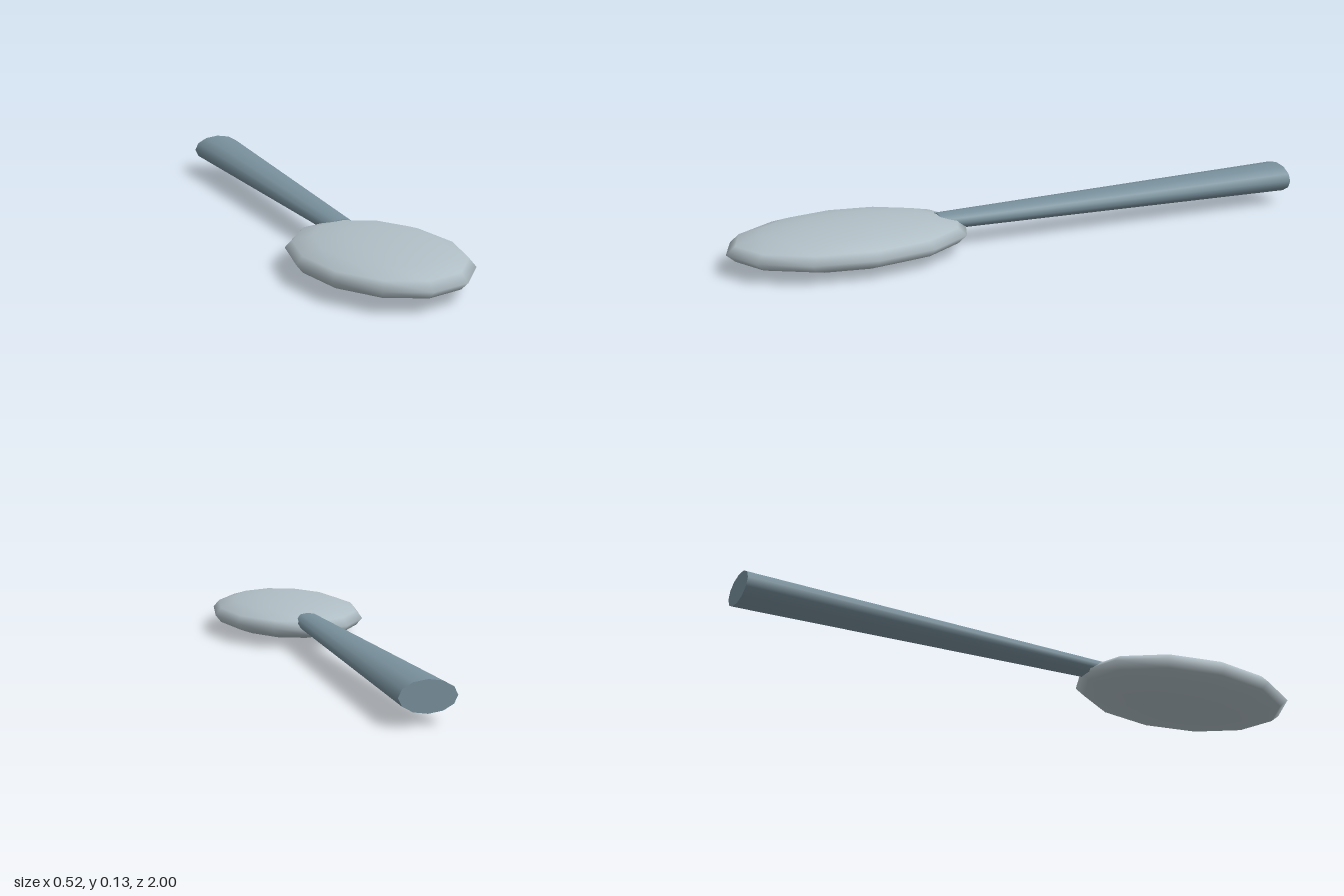
import * as THREE from 'three';

function material(name, color) {
  const m = new THREE.MeshStandardMaterial({ color });
  m.name = name;
  return m;
}

export function createModel() {
  const group = new THREE.Group();
  group.name = 'spoon';
  const paleSteel = material('paleSteel', 0xb0bec5);
  const darkSteel = material('darkSteel', 0x78909c);

  // Bowl: a coarse sphere flattened into a long oval
  const bowl = new THREE.Mesh(new THREE.SphereGeometry(1, 12, 8), paleSteel);
  bowl.name = 'bowl';
  bowl.scale.set(0.26, 0.065, 0.4);
  bowl.position.set(0, 0.065, 0.6);
  group.add(bowl);

  // Handle: a tapered oval rod, wide at the back, sunk into the bowl
  const back = -1, front = 0.3;
  const rod = new THREE.CylinderGeometry(0.047, 0.087, front - back, 12);
  rod.rotateX(Math.PI / 2);
  rod.scale(1, 0.56, 1);
  const handle = new THREE.Mesh(rod, darkSteel);
  handle.name = 'handle';
  handle.position.set(0, 0.083, (back + front) / 2);
  group.add(handle);

  return group;
}
